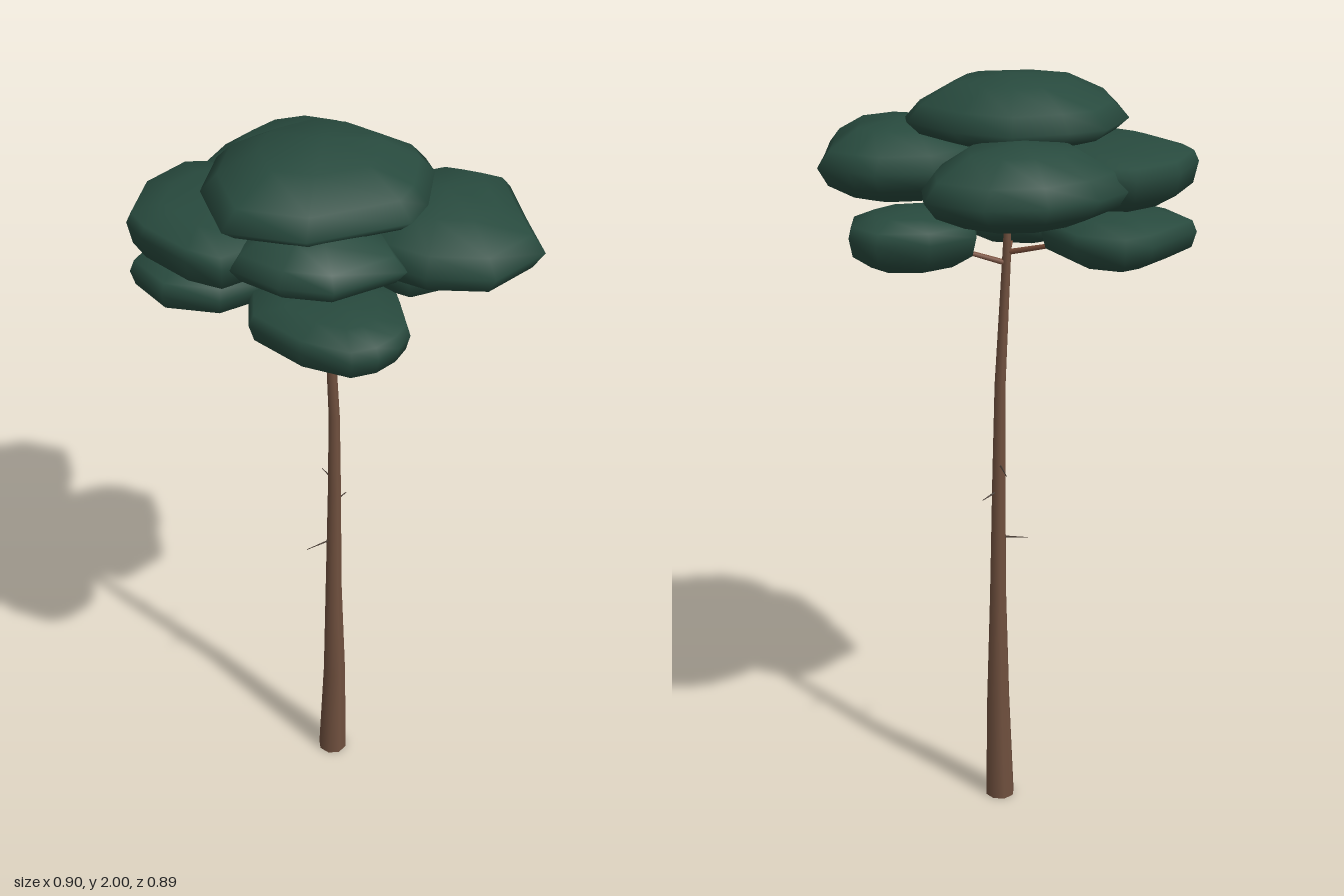
import * as THREE from 'three';

const material = (name, color, side = THREE.FrontSide) => {
  const m = new THREE.MeshStandardMaterial({ color, side });
  m.name = name;
  return m;
};

// pad cross-sections from top to bottom: [outline scale, height share]
const LENS = [[0.52, 0.84], [0.86, 0.38], [1, 0], [0.88, -0.5], [0.58, -0.92]];
const CHUNKY = [[0.58, 0.86], [0.94, 0.48], [1, 0], [0.94, -0.55], [0.64, -0.93]];

// smooth pad over an [x, z] outline that runs clockwise seen from above
function padGeometry(profile, [top, rim, bottom], outline) {
  const n = outline.length;
  const cx = outline.reduce((s, p) => s + p[0], 0) / n;
  const cz = outline.reduce((s, p) => s + p[1], 0) / n;
  const points = [];
  const faces = [];
  profile.forEach(([scale, h], k) => {
    const y = rim + (h > 0 ? h * (top - rim) : h * (rim - bottom));
    outline.forEach(([x, z], i) => {
      points.push(cx + (x - cx) * scale, y, cz + (z - cz) * scale);
      const j = (i + 1) % n;
      const a = k * n;
      const b = a + n;
      if (k < profile.length - 1) faces.push(a + i, a + j, b + i, a + j, b + j, b + i);
    });
  });
  // close the top and the underside
  const last = (profile.length - 1) * n;
  const apex = last + n;
  points.push(cx, top, cz, cx, bottom, cz);
  for (let i = 0; i < n; i++) {
    const j = (i + 1) % n;
    faces.push(apex, j, i, apex + 1, last + i, last + j);
  }
  const g = new THREE.BufferGeometry();
  g.setAttribute('position', new THREE.Float32BufferAttribute(points, 3));
  g.setIndex(faces);
  g.computeVertexNormals();
  return g;
}

// tapered stick between two points
function stick(a, b, r0, r1, sides, mat, name) {
  const start = new THREE.Vector3(...a);
  const dir = new THREE.Vector3(...b).sub(start);
  const g = new THREE.CylinderGeometry(r1, r0, dir.length(), sides);
  g.translate(0, dir.length() / 2, 0);
  const mesh = new THREE.Mesh(g, mat);
  mesh.quaternion.setFromUnitVectors(new THREE.Vector3(0, 1, 0), dir.normalize());
  mesh.position.copy(start);
  mesh.name = name;
  return mesh;
}

// trunk stations: y, centre x, centre z, radius
const STATIONS = [
  [0, 0.012, -0.006, 0.04],
  [0.3, 0.015, 0.0, 0.0315],
  [0.62, 0.019, -0.013, 0.0225],
  [0.95, 0.011, 0.005, 0.018],
  [1.2, 0.004, 0.016, 0.015],
  [1.55, -0.015, 0.019, 0.0115],
  [1.71, -0.02, 0.022, 0.007],
];

// open round column whose rings are moved onto the stations
function trunkGeometry() {
  const n = STATIONS.length - 1;
  const g = new THREE.CylinderGeometry(1, 1, n, 8, n, true);
  const p = g.attributes.position;
  for (let i = 0; i < p.count; i++) {
    const [y, cx, cz, r] = STATIONS[Math.round(p.getY(i) + n / 2)];
    p.setXYZ(i, cx + p.getX(i) * r, y, cz + p.getZ(i) * r);
  }
  return g;
}

export function createModel() {
  const bark = material('bark brown', 0x71513f, THREE.DoubleSide);
  const limb = material('branch brown', 0x7c503b);
  const dead = material('dead twig', 0x4c4038);
  const needles = material('needle green', 0x284a3e);

  const tree = new THREE.Group();
  tree.name = 'tree';

  const trunk = new THREE.Mesh(trunkGeometry(), bark);
  trunk.name = 'trunk';
  tree.add(trunk);

  // a pad with the branch that carries it; heights are top, rim, bottom
  const addPad = (name, profile, branchY, heights, outline) => {
    const pad = new THREE.Mesh(padGeometry(profile, heights, outline), needles);
    pad.name = name;
    tree.add(pad);
    const box = new THREE.Box3().setFromObject(pad);
    const end = box.getCenter(new THREE.Vector3()).toArray();
    tree.add(stick([-0.016, branchY, 0.02], end, 0.008, 0.004, 5, limb, 'branch'));
  };

  // crown
  addPad('crownPad', LENS, 1.69, [2.0, 1.89, 1.83], [
    [-0.2, -0.195], [-0.1, -0.213], [0.045, -0.215], [0.16, -0.12], [0.235, 0.04], [0.22, 0.11],
    [0.125, 0.24], [0.05, 0.295], [-0.2, 0.26], [-0.345, 0.13], [-0.305, -0.065]]);

  // middle tier
  addPad('middlePadFrontLeft', LENS, 1.68, [1.88, 1.78, 1.685], [
    [0.19, -0.055], [0.335, -0.035], [0.39, 0.02], [0.45, 0.09], [0.4, 0.235], [0.35, 0.395],
    [0.185, 0.443], [0.05, 0.36], [-0.01, 0.26], [-0.02, 0.13], [0.06, 0.01]]);
  addPad('middlePadBack', LENS, 1.68, [1.885, 1.77, 1.69], [
    [-0.22, -0.32], [-0.11, -0.4], [0.03, -0.445], [0.175, -0.415], [0.285, -0.3],
    [0.255, -0.17], [0.21, -0.08], [0.05, 0.0], [-0.13, -0.03], [-0.22, -0.18]]);
  addPad('middlePadRight', CHUNKY, 1.68, [1.85, 1.795, 1.695], [
    [-0.45, -0.17], [-0.35, -0.295], [-0.22, -0.345], [-0.08, -0.28], [-0.01, -0.1],
    [-0.07, 0.05], [-0.2, 0.12], [-0.35, 0.135], [-0.405, 0.06], [-0.45, -0.09]]);
  addPad('middlePadFront', LENS, 1.69, [1.88, 1.79, 1.725], [
    [-0.33, 0.13], [-0.25, 0.02], [-0.1, -0.02], [0.02, 0.05], [0.05, 0.2],
    [0.02, 0.33], [-0.17, 0.335], [-0.27, 0.255]]);

  // lower tier
  addPad('lowerPadFront', CHUNKY, 1.54, [1.68, 1.62, 1.548], [
    [-0.28, 0.12], [-0.23, 0.02], [-0.1, -0.01], [0.04, 0.06], [0.08, 0.2], [0.03, 0.335],
    [-0.02, 0.37], [-0.085, 0.39], [-0.15, 0.38], [-0.23, 0.28]]);
  addPad('lowerPadBackRight', CHUNKY, 1.55, [1.69, 1.63, 1.56], [
    [-0.43, -0.22], [-0.27, -0.335], [-0.19, -0.36], [-0.09, -0.28], [-0.06, -0.12],
    [-0.14, 0.0], [-0.3, 0.01], [-0.41, -0.08]]);
  addPad('lowerPadLeft', CHUNKY, 1.52, [1.685, 1.625, 1.54], [
    [0.1, -0.1], [0.23, -0.145], [0.355, -0.11], [0.4, -0.015], [0.37, 0.09],
    [0.27, 0.15], [0.14, 0.14], [0.065, 0.02]]);

  // short bare twigs on the lower trunk
  const twigs = [
    [[0.014, 0.78, -0.003], [-0.066, 0.768, -0.008]],
    [[0.012, 0.91, 0.003], [0.066, 0.9, -0.03]],
    [[0.01, 0.985, 0.007], [0.012, 0.975, -0.066]],
  ];
  for (const [a, b] of twigs) tree.add(stick(a, b, 0.0035, 0.001, 4, dead, 'twig'));

  return tree;
}
